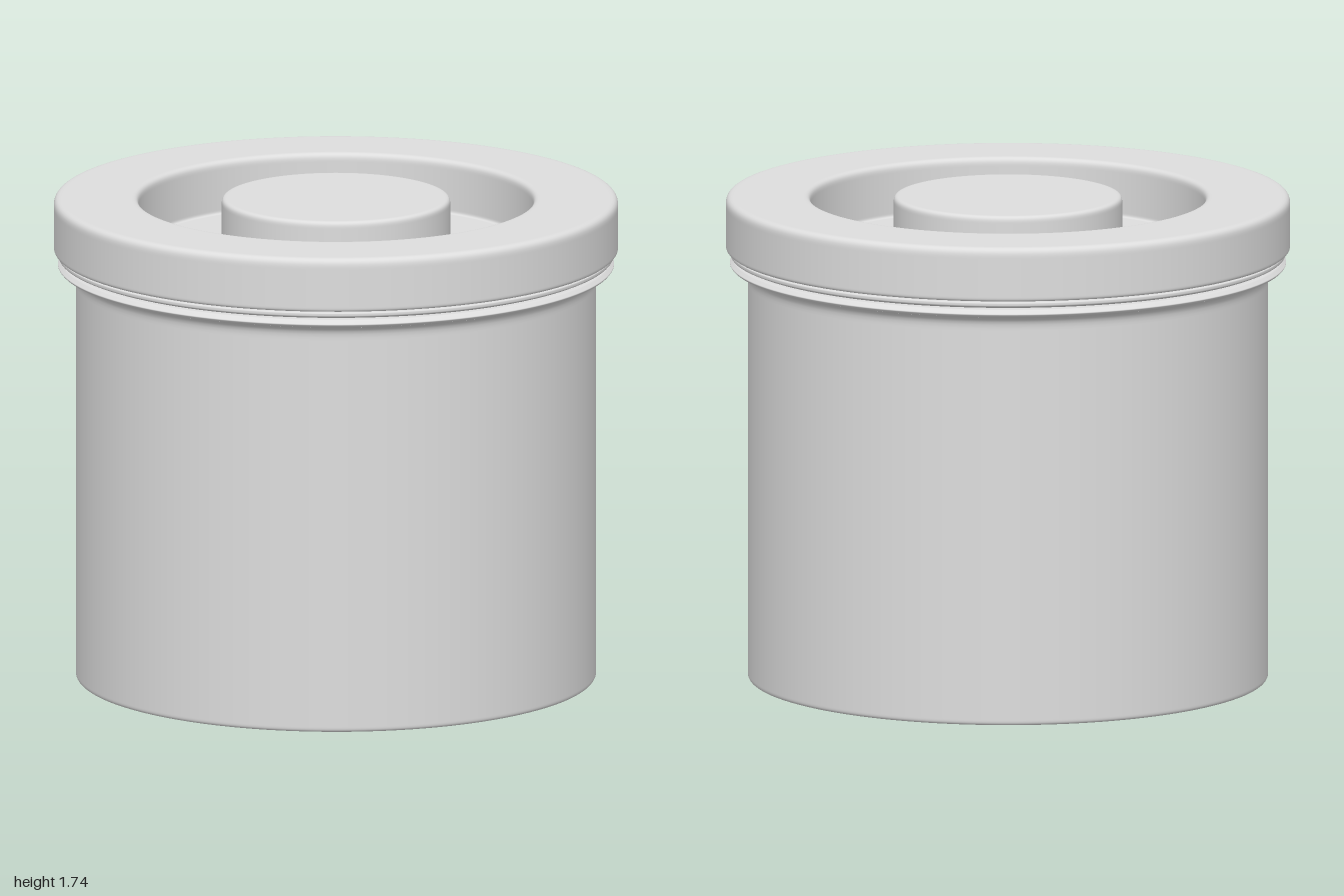
import * as THREE from 'three';

// Profile corners are [radius, height, fillet]; each fillet becomes a short arc
// with a support point either side, so flat areas stay flat under smooth normals.
function roundedProfile(corners) {
  const pts = [];
  corners.forEach(([r, y, fillet], i) => {
    const p = new THREE.Vector2(r, y);
    if (!fillet) { pts.push(p); return; }
    const towards = (c, d) => new THREE.Vector2(c[0], c[1]).sub(p).setLength(d).add(p);
    const prev = corners[i - 1], next = corners[i + 1];
    const arc = new THREE.QuadraticBezierCurve(towards(prev, fillet), p, towards(next, fillet));
    pts.push(towards(prev, fillet * 1.25), ...arc.getPoints(6), towards(next, fillet * 1.25));
  });
  return pts;
}

function turned(name, corners, material) {
  const mesh = new THREE.Mesh(new THREE.LatheGeometry(roundedProfile(corners), 128), material);
  mesh.name = name;
  return mesh;
}

export function createModel() {
  const group = new THREE.Group();
  group.name = 'liddedJar';
  const grey = new THREE.MeshStandardMaterial({ color: 0xdddddd });
  grey.name = 'light grey';

  // Shallow dish under the jar, from the centre out to the foot
  const dish = [];
  for (let i = 0; i <= 12; i++) {
    const t = i / 12;
    dish.push([0.89 * t, 0.1 * (1 - t * t), 0]);
  }

  // Hollow jar with a flared lip
  group.add(turned('jar', [
    ...dish, [0.922, 0, 0.016], [0.922, 1.474, 0.04], [0.978, 1.484, 0.008],
    [0.987, 1.495, 0.004], [0.97, 1.51, 0.005], [0.86, 1.514, 0.012],
    [0.86, 0.14, 0.02], [0, 0.14, 0],
  ], grey));

  // Thin seal between the lip and the lid
  group.add(turned('seal', [
    [0.84, 1.512, 0], [0.965, 1.516, 0.004], [0.984, 1.524, 0.005],
    [0.984, 1.538, 0.005], [0.84, 1.55, 0],
  ], grey));

  // Lid: broad rim, sunken ring and central knob level with the rim
  group.add(turned('lid', [
    [0, 1.5, 0], [0.84, 1.5, 0.01], [0.84, 1.544, 0.01], [1, 1.544, 0.014],
    [1, 1.737, 0.03], [0.7, 1.737, 0.025], [0.7, 1.547, 0.012],
    [0.405, 1.547, 0.012], [0.405, 1.737, 0.02], [0, 1.737, 0],
  ], grey));

  return group;
}
